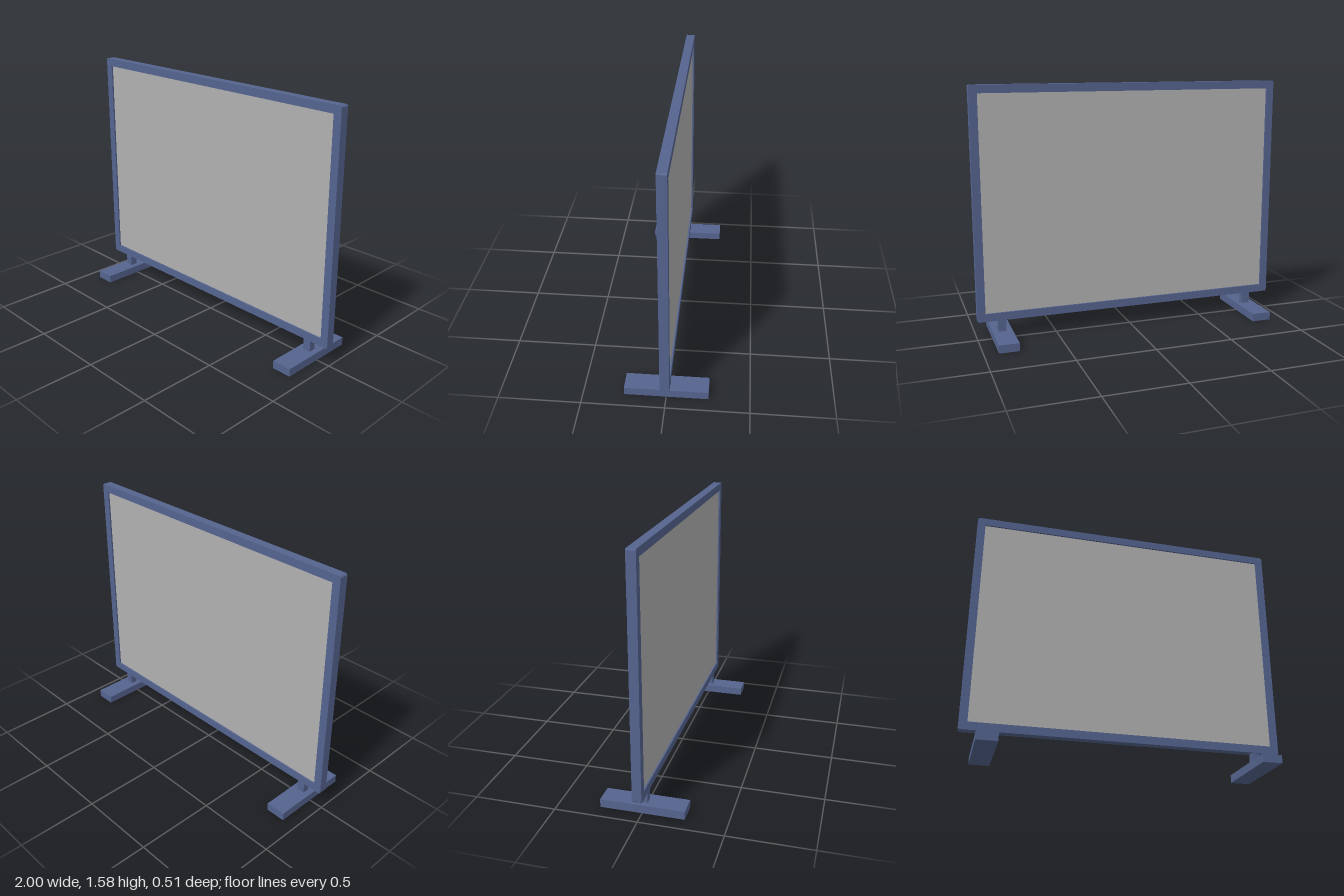
import * as THREE from 'three';

const blue = new THREE.MeshStandardMaterial({ color: 0x55648f, flatShading: true });
const grey = new THREE.MeshStandardMaterial({ color: 0xb0b0b0, flatShading: true });

function addBox(parent, name, size, position, material) {
  const mesh = new THREE.Mesh(new THREE.BoxGeometry(...size), material);
  mesh.name = name;
  mesh.position.set(...position);
  parent.add(mesh);
}

export function createModel() {
  const model = new THREE.Group();
  model.name = 'freestandingScreen';

  // Frame: outline with slightly clipped corners and a rectangular opening
  const bottom = 0.125, top = 1.577, border = 0.05, depth = 0.056, cut = 0.008;
  const points = (list) => list.map(([x, y]) => new THREE.Vector2(x, y));
  const outline = new THREE.Shape(points([
    [-1 + cut, bottom], [1 - cut, bottom], [1, bottom + cut], [1, top - cut],
    [1 - cut, top], [-1 + cut, top], [-1, top - cut], [-1, bottom + cut],
  ]));
  const x = 1 - border, y0 = bottom + border, y1 = top - border;
  outline.holes.push(new THREE.Path(points([[-x, y0], [-x, y1], [x, y1], [x, y0]])));
  const frameGeometry = new THREE.ExtrudeGeometry(outline, { depth, bevelEnabled: false });
  frameGeometry.translate(0, 0, -depth / 2);
  const frame = new THREE.Mesh(frameGeometry, blue);
  frame.name = 'frame';
  model.add(frame);

  // Panel, set back a little on both faces
  addBox(model, 'panel', [2 * x, y1 - y0, 0.036], [0, (y0 + y1) / 2, 0], grey);

  // A short post on a long foot at each end
  for (const [side, sign] of [['left', 1], ['right', -1]]) {
    const stand = new THREE.Group();
    stand.name = side + 'Stand';
    stand.position.x = sign * 0.847;
    addBox(stand, 'post', [0.05, 0.075, 0.046], [0, 0.0875, 0], blue);
    addBox(stand, 'foot', [0.126, 0.051, 0.506], [0, 0.0255, 0], blue);
    model.add(stand);
  }
  return model;
}
